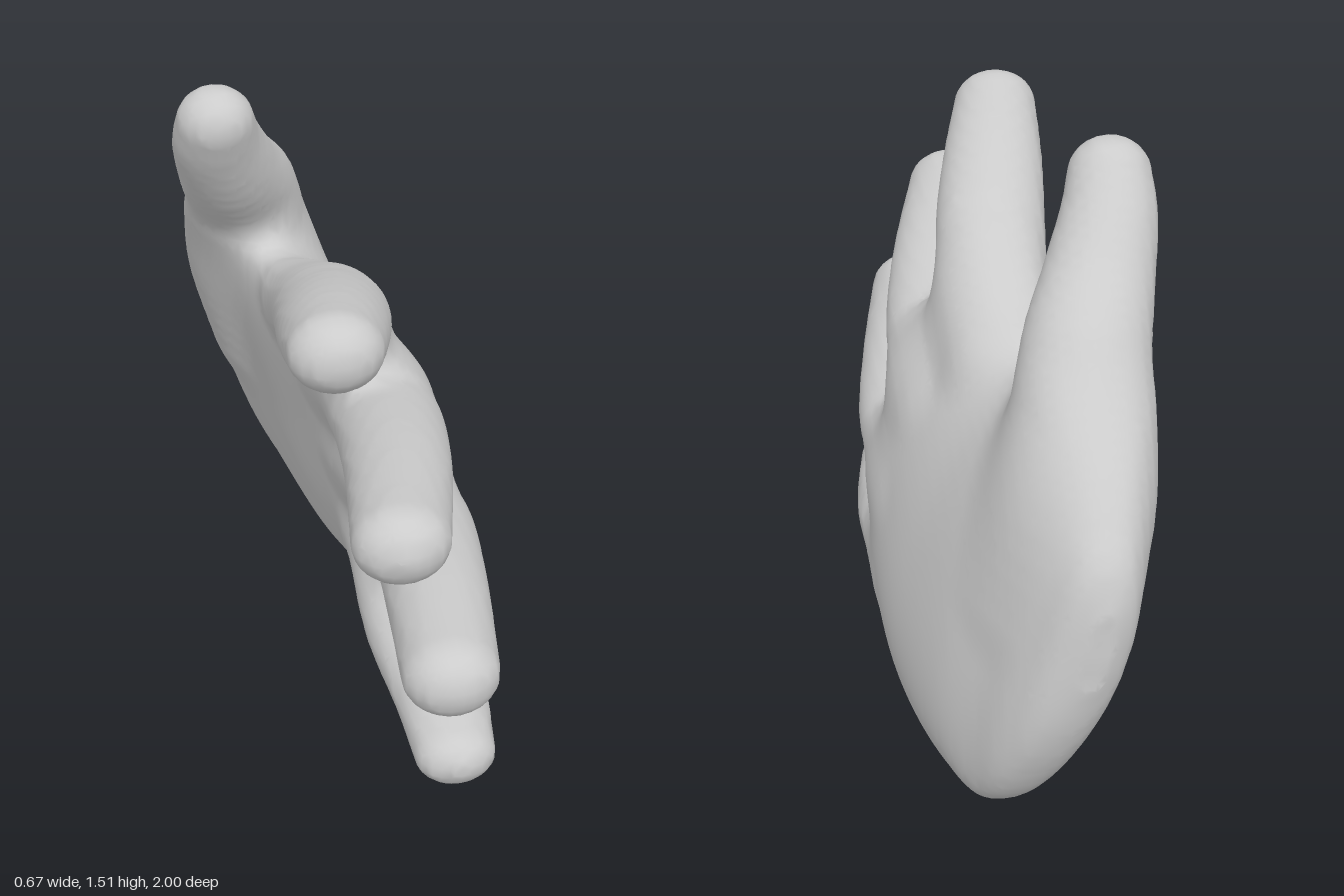
import * as THREE from 'three';

const CELL = 0.025;
const MIN = [-0.45, -0.1, -1.1], SIZE = [37, 70, 89];

// Palm sections: z, bottom y, top y, x at bottom / middle / top, half thickness
const PALM = [
  [-1.00, 0.50, 0.72, -0.07, -0.09, -0.11, 0.035],
  [-0.98, 0.39, 0.79, -0.02, -0.08, -0.11, 0.075],
  [-0.92, 0.22, 0.88, 0.04, -0.06, -0.12, 0.115],
  [-0.80, 0.06, 0.99, 0.09, -0.03, -0.13, 0.145],
  [-0.65, 0.02, 1.04, 0.13, 0.02, -0.12, 0.165],
  [-0.40, 0.00, 0.99, 0.17, 0.095, -0.08, 0.168],
  [-0.20, 0.03, 1.02, 0.195, 0.14, -0.04, 0.152],
  [0.00, 0.065, 1.10, 0.195, 0.17, -0.02, 0.125],
  [0.10, 0.08, 1.11, 0.19, 0.17, -0.02, 0.10],
  [0.18, 0.12, 1.05, 0.19, 0.16, 0.00, 0.07],
  [0.21, 0.20, 0.96, 0.19, 0.16, 0.02, 0.03]
];

// Smooth chain of tapered segments through rows of x, y, z, radius; widen stretches its girth along x
function chain(widen, rows) {
  const curve = new THREE.CubicInterpolant(rows.map((_, i) => i), rows.flat(), 4, new Float32Array(4));
  const n = (rows.length - 1) * 4;
  const pts = Array.from({ length: n + 1 }, (_, i) => Array.from(curve.evaluate(i / 4)));
  return pts.slice(1).map((b, i) => ({ a: pts[i], b, widen }));
}

const thumb = chain(1.08, [
  [-0.05, 0.58, -0.72, 0.11], [-0.095, 0.80, -0.70, 0.14], [-0.12, 0.97, -0.63, 0.14], [-0.14, 1.11, -0.53, 0.138],
  [-0.185, 1.22, -0.42, 0.122], [-0.225, 1.34, -0.33, 0.105], [-0.235, 1.42, -0.275, 0.09]
]);

const fingers = [
  // index
  chain(1.18, [
    [0.00, 0.92, -0.20, 0.10], [-0.01, 1.02, 0.02, 0.115], [-0.03, 1.10, 0.20, 0.118],
    [-0.065, 1.18, 0.40, 0.11], [-0.10, 1.255, 0.60, 0.092]
  ]),
  // middle
  chain(1.2, [
    [0.11, 0.74, -0.10, 0.09], [0.11, 0.77, 0.08, 0.11], [0.105, 0.80, 0.24, 0.113],
    [0.065, 0.86, 0.52, 0.105], [-0.005, 0.92, 0.86, 0.092]
  ]),
  // ring
  chain(1.18, [
    [0.17, 0.48, -0.10, 0.09], [0.18, 0.49, 0.10, 0.105], [0.185, 0.507, 0.27, 0.113],
    [0.15, 0.55, 0.58, 0.106], [0.105, 0.575, 0.905, 0.095]
  ]),
  // little
  chain(1.35, [
    [0.18, 0.23, -0.10, 0.07], [0.185, 0.21, 0.08, 0.095], [0.19, 0.178, 0.26, 0.102],
    [0.195, 0.15, 0.46, 0.09], [0.185, 0.128, 0.68, 0.074]
  ])
].flat();

const sections = new THREE.CubicInterpolant(
  PALM.map(r => r[0]), PALM.flatMap(r => r.slice(1)), 6, new Float32Array(6));

// Signed distance to the palm, a bowed slab of slightly boxy oval sections
function palmDistance(x, y, z) {
  // the knuckle line slants back toward the index finger
  const slant = THREE.MathUtils.clamp((y - 0.6) / 0.5, -1, 1);
  const zs = z > 0 ? z / (1 - 0.25 * slant) : z;
  const [y0, y1, xb, xm, xt, half] = sections.evaluate(zs);
  const h = (y1 - y0) / 2, dy = y - (y0 + y1) / 2;
  const s = THREE.MathUtils.clamp(dy / h, -1, 1);
  const dx = x - (xm + (xt - xb) / 2 * s + ((xt + xb) / 2 - xm) * s * s);
  const power = 2.4, u = Math.abs(dx) / half, v = Math.abs(dy) / h;
  const f = Math.max((u ** power + v ** power) ** (1 / power), 1e-4);
  const slope = f ** (1 - power) * Math.hypot(u ** (power - 1) / half, v ** (power - 1) / h);
  const d = (f - 1) / Math.max(slope, 1);
  const past = Math.max(-1 - zs, zs - 0.21);
  return past > 0 ? Math.hypot(Math.max(d, 0), past) : d;
}

function chainDistance(segments, x, y, z) {
  let best = Infinity;
  for (const { a, b, widen } of segments) {
    const ux = (b[0] - a[0]) / widen, uy = b[1] - a[1], uz = b[2] - a[2];
    const px = (x - a[0]) / widen, py = y - a[1], pz = z - a[2];
    const t = THREE.MathUtils.clamp((px * ux + py * uy + pz * uz) / (ux * ux + uy * uy + uz * uz), 0, 1);
    const d = Math.hypot(px - t * ux, py - t * uy, pz - t * uz) - a[3] - t * (b[3] - a[3]);
    if (d < best) best = d;
  }
  return best;
}

// Union with a soft fillet of size k
function blend(a, b, k) {
  const m = Math.max(k - Math.abs(a - b), 0) / k;
  return Math.min(a, b) - m * m * k / 4;
}

function hand(x, y, z) {
  const body = blend(palmDistance(x, y, z), chainDistance(fingers, x, y, z), 0.08);
  return blend(body, chainDistance(thumb, x, y, z), 0.13);
}

// Pull a vertex onto the exact surface along the gradient
function settle(p) {
  const e = 0.006, f = hand(...p);
  const g = p.map((_, i) => {
    const hi = [...p], lo = [...p];
    hi[i] += e;
    lo[i] -= e;
    return (hand(...hi) - hand(...lo)) / (2 * e);
  });
  const step = THREE.MathUtils.clamp(f / Math.max(g[0] ** 2 + g[1] ** 2 + g[2] ** 2, 0.2), -0.01, 0.01);
  return p.map((v, i) => v - step * g[i]);
}

// One continuous skin: a vertex in every grid cell the surface crosses, a quad across every crossed edge
function skinGeometry(field) {
  const [nx, ny, nz] = SIZE, stride = [1, nx, nx * ny];
  const values = new Float32Array(nx * ny * nz);
  const coords = i => [i % nx, Math.floor(i / nx) % ny, Math.floor(i / (nx * ny))];
  for (let i = 0; i < values.length; i++) values[i] = field(...coords(i).map((c, a) => MIN[a] + c * CELL));

  const ids = new Map(), pos = [], index = [];
  const vertex = cell => {
    if (ids.has(cell)) return ids.get(cell);
    const sum = [0, 0, 0];
    let count = 0;
    for (let a = 0; a < 3; a++) {
      const b = (a + 1) % 3, c = (a + 2) % 3;
      for (let k = 0; k < 4; k++) {
        const ob = k & 1, oc = k >> 1;
        const start = cell + ob * stride[b] + oc * stride[c];
        const v0 = values[start], v1 = values[start + stride[a]];
        if ((v0 < 0) === (v1 < 0)) continue;
        sum[a] += v0 / (v0 - v1);
        sum[b] += ob;
        sum[c] += oc;
        count++;
      }
    }
    const base = coords(cell);
    pos.push(...settle(sum.map((s, a) => MIN[a] + (base[a] + s / count) * CELL)));
    ids.set(cell, ids.size);
    return ids.size - 1;
  };

  for (let i = 0; i < values.length; i++) {
    const at = coords(i);
    if (at.some((c, a) => c < 1 || c > SIZE[a] - 2)) continue;
    for (let a = 0; a < 3; a++) {
      if ((values[i] < 0) === (values[i + stride[a]] < 0)) continue;
      const b = stride[(a + 1) % 3], c = stride[(a + 2) % 3];
      const q = [i - b - c, i - c, i, i - b].map(vertex);
      if (values[i] >= 0) q.reverse();
      index.push(q[0], q[1], q[2], q[0], q[2], q[3]);
    }
  }
  const geo = new THREE.BufferGeometry();
  geo.setAttribute('position', new THREE.Float32BufferAttribute(pos, 3));
  geo.setIndex(index);
  geo.computeVertexNormals();
  return geo;
}

export function createModel() {
  const model = new THREE.Group();
  model.name = 'hand';
  const skin = new THREE.Mesh(skinGeometry(hand), new THREE.MeshStandardMaterial({ color: 0xcccccc }));
  skin.name = 'palmAndFingers';
  model.add(skin);
  return model;
}
